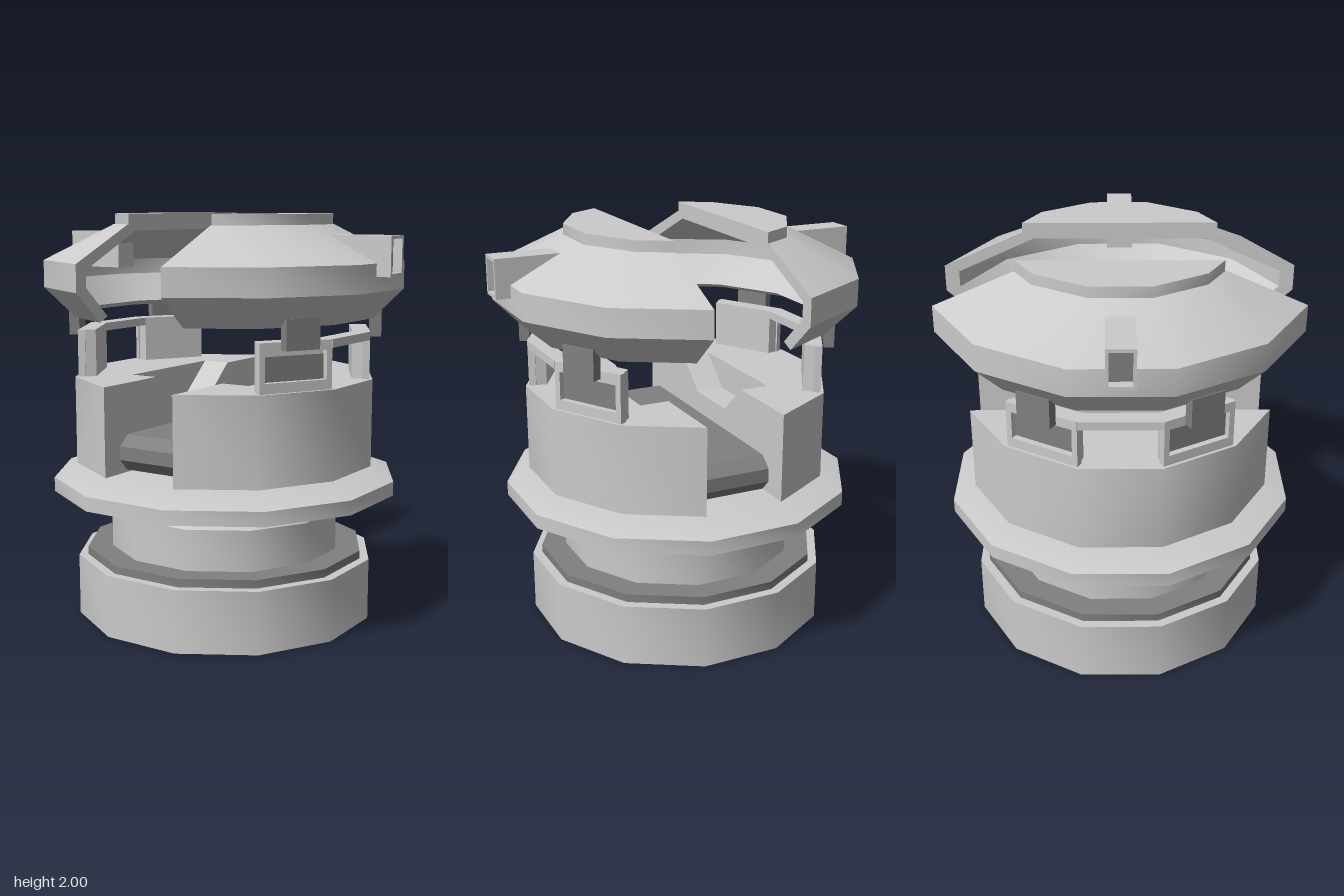
import * as THREE from 'three';
import { toCreasedNormals } from 'three/addons/utils/BufferGeometryUtils.js';

const light = new THREE.MeshStandardMaterial({ color: 0xcccccc });
const thin = new THREE.MeshStandardMaterial({ color: 0xcccccc, side: THREE.DoubleSide });
const dark = new THREE.MeshStandardMaterial({ color: 0x808080 });
const darkThin = new THREE.MeshStandardMaterial({ color: 0x808080, side: THREE.DoubleSide });
const COS15 = Math.cos(Math.PI / 12);

function add(parent, name, geometry, material = light) {
  const mesh = new THREE.Mesh(toCreasedNormals(geometry, 0.6), material);
  mesh.name = name;
  parent.add(mesh);
  return mesh;
}

// Twelve-sided turned part; profile is [flat radius, height]
function turned(profile) {
  const pts = profile.map(([a, y]) => new THREE.Vector2(a / COS15, y));
  return new THREE.LatheGeometry(pts, 12, Math.PI / 12);
}

// Plan of a twelve-sided disc cut off at x = c, from +z round to -z
function halfPlan(a, c) {
  const r = a / COS15;
  const z = (a - c / 2) / Math.sin(Math.PI / 3);
  const corners = [45, 15, -15, -45].map((d) => {
    const t = THREE.MathUtils.degToRad(d);
    return [r * Math.cos(t), r * Math.sin(t)];
  });
  return [[c, z], ...corners, [c, -z]];
}

// Plan outline (x, z) raised from y0 to y1
function slab(outline, y0, y1) {
  const shape = new THREE.Shape(outline.map(([x, z]) => new THREE.Vector2(x, -z)));
  return new THREE.ExtrudeGeometry(shape, { depth: y1 - y0, bevelEnabled: false })
    .rotateX(-Math.PI / 2).translate(0, y0, 0);
}

// Closed profile swept round the half plan, with flat ends on the cut
function halfShell(profile, c) {
  const n = profile.length;
  const pos = [];
  const index = [];
  for (const [a, y] of profile) for (const [x, z] of halfPlan(a, c)) pos.push(x, y, z);
  for (let i = 0; i < n; i++) {
    const j = (i + 1) % n;
    for (let k = 0; k < 5; k++) {
      const p = i * 6 + k, q = j * 6 + k;
      index.push(p, p + 1, q, p + 1, q + 1, q);
    }
  }
  const outline = profile.map(([a, y]) => new THREE.Vector2(a, y));
  for (const [u, v, w] of THREE.ShapeUtils.triangulateShape(outline, [])) {
    index.push(u * 6, v * 6, w * 6, u * 6 + 5, w * 6 + 5, v * 6 + 5);
  }
  const g = new THREE.BufferGeometry();
  g.setAttribute('position', new THREE.Float32BufferAttribute(pos, 3));
  g.setIndex(index);
  return g;
}

// Rectangular frame in the zy plane, facing +x, back at x = 0
function frame(w, h, holeW, holeH, depth) {
  const rect = (Type, a, b) => new Type([[-a, -b], [a, -b], [a, b], [-a, b]]
    .map(([x, y]) => new THREE.Vector2(x / 2, y / 2)));
  const shape = rect(THREE.Shape, w, h);
  shape.holes.push(rect(THREE.Path, holeW, holeH));
  return new THREE.ExtrudeGeometry(shape, { depth, bevelEnabled: false }).rotateY(Math.PI / 2);
}

function createSide() {
  const side = new THREE.Group();

  // Body half with a sloped notch beside the central slot
  const c = 0.195;
  const plan = halfPlan(0.725, c).concat([[c, -0.32], [0.34, -0.32], [0.34, 0.32], [c, 0.32]]);
  add(side, 'bodyHalf', slab(plan, 0.78, 1.21));
  const floor = new THREE.Shape([[-0.32, 0.78], [0.32, 0.78], [0.32, 1.21],
    [0.15, 1.06], [-0.15, 1.06], [-0.32, 1.21]].map((p) => new THREE.Vector2(...p)));
  add(side, 'bodyNotch', new THREE.ExtrudeGeometry(floor, { depth: 0.145, bevelEnabled: false })
    .rotateY(Math.PI / 2).translate(c, 0, 0));

  // Gallery wall: an open bay between two windowed panels
  const corner = (a, deg) => {
    const t = THREE.MathUtils.degToRad(deg);
    return [a / COS15 * Math.cos(t), a / COS15 * Math.sin(t)];
  };
  const bay = (inner, outer, mid) => [corner(outer, mid - 15), corner(outer, mid + 15),
    corner(inner, mid + 15), corner(inner, mid - 15)];
  add(side, 'galleryLintel', slab(bay(0.625, 0.71, 0), 1.40, 1.44));
  for (const s of [1, -1]) {
    add(side, 'galleryPanel', slab(bay(0.625, 0.675, 30 * s), 1.21, 1.44));
    const turn = -s * Math.PI / 6;
    add(side, 'windowFrame', frame(0.376, 0.23, 0.32, 0.135, 0.035)
      .translate(0.675, 1.325, 0).rotateY(turn).translate(0, 0, 0));
    add(side, 'windowPane', new THREE.BoxGeometry(0.006, 0.135, 0.32)
      .translate(0.677, 1.305, 0).rotateY(turn), dark);
    add(side, 'capPost', new THREE.BoxGeometry(0.05, 0.145, 0.173)
      .translate(0.745, 1.478, 0).rotateY(turn), dark);
  }

  // Hollow cap half and its top plate
  const cut = 0.235;
  add(side, 'capShell', halfShell([[0.72, 1.505], [0.86, 1.65], [0.86, 1.78], [0.53, 1.95],
    [0.48, 1.92], [0.8, 1.75], [0.8, 1.67], [0.67, 1.53]], cut));
  add(side, 'capPlate', slab(halfPlan(0.525, cut), 1.92, 2.0));

  // Side lug with a recessed end
  add(side, 'lugBlock', new THREE.BoxGeometry(0.26, 0.185, 0.13).translate(0.75, 1.8125, 0));
  add(side, 'lugFrame', frame(0.13, 0.185, 0.1, 0.155, 0.05).translate(0.88, 1.8125, 0));
  add(side, 'lugRecess', new THREE.BoxGeometry(0.006, 0.155, 0.1).translate(0.882, 1.8125, 0), dark);
  return side;
}

export function createModel() {
  const model = new THREE.Group();

  // Stacked lower rings
  add(model, 'baseRing', turned([[0.725, 0], [0.725, 0.305], [0.66, 0.305]]), thin);
  add(model, 'baseGasket', turned([[0.56, 0.3], [0.68, 0.3], [0.68, 0.345], [0.56, 0.345]]), darkThin);
  add(model, 'collar', turned([[0.56, 0.3], [0.56, 0.545], [0.5, 0.612]]), thin);
  add(model, 'flange', turned([[0, 0.612], [0.73, 0.612], [0.835, 0.64], [0.835, 0.71],
    [0.73, 0.74], [0, 0.74]]));

  // Bar lying in the central slot
  const bar = new THREE.Shape([[-0.59, 0.8], [0.59, 0.8], [0.64, 0.855], [0.64, 0.92],
    [0.58, 0.97], [-0.58, 0.97], [-0.64, 0.92], [-0.64, 0.855]].map((p) => new THREE.Vector2(...p)));
  add(model, 'slotBar', new THREE.ExtrudeGeometry(bar, { depth: 0.345, bevelEnabled: false })
    .rotateY(Math.PI / 2).translate(-0.1725, 0, 0), dark);

  // Two mirrored upper halves
  const left = createSide();
  left.name = 'leftHalf';
  const right = createSide();
  right.name = 'rightHalf';
  right.scale.x = -1;
  model.add(left, right);
  return model;
}
